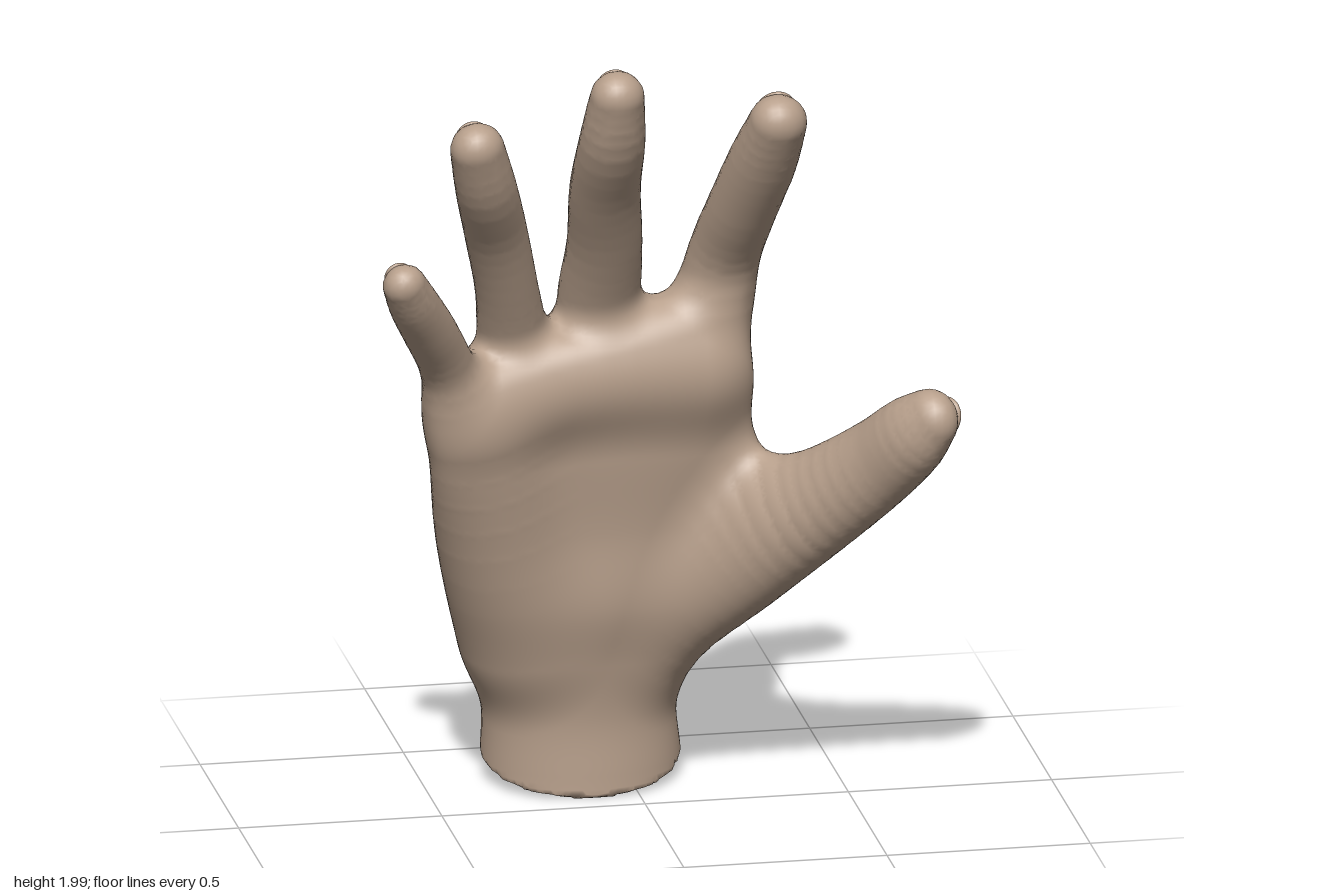
import * as THREE from 'three';

const SKIN = new THREE.MeshStandardMaterial({ color: 0xb8a08c });
SKIN.name = 'skin';

// Digits: joints from inside the palm to the tip as [x, y, z, radius];
// back is the nail side, flat the ratio of width to depth
const DIGITS = [
  { name: 'indexFinger', blend: 0.06, flat: 1.08, back: [0.1, 0.5, -1], joints: [[.09, .78, -.16, .07], [.17, 1.22, -.055, .097],
    [.195, 1.4, .005, .089], [.22, 1.55, .11, .086], [.25, 1.7, .215, .084], [.27, 1.82, .3, .071]] },
  { name: 'middleFinger', blend: 0.06, flat: 1.08, back: [0, 0.5, -1], joints: [[-.1, .78, -.16, .07], [-.11, 1.25, -.04, .1],
    [-.115, 1.47, .08, .092], [-.135, 1.64, .19, .087], [-.14, 1.8, .31, .081], [-.14, 1.932, .375, .067]] },
  { name: 'ringFinger', blend: 0.05, flat: 1.08, back: [-0.1, 0.5, -1], joints: [[-.27, .75, -.13, .07], [-.325, 1.2, -.005, .085],
    [-.357, 1.37, .08, .077], [-.4, 1.54, .17, .077], [-.445, 1.69, .28, .075], [-.478, 1.81, .342, .067]] },
  { name: 'littleFinger', blend: 0.05, flat: 1.08, back: [-0.3, 0.5, -1], joints: [[-.36, .75, -.09, .07], [-.465, 1.06, .045, .08],
    [-.515, 1.2, .12, .067], [-.57, 1.31, .2, .066], [-.62, 1.4, .27, .062], [-.652, 1.465, .315, .054]] },
  { name: 'thumb', blend: 0.15, flat: 1.25, back: [1, 0, -0.6], joints: [[.04, .4, -.19, .11], [.185, .55, -.085, .14],
    [.3, .68, .01, .145], [.425, .8, .125, .125], [.53, .915, .235, .109], [.592, 1.005, .32, .099], [.632, 1.062, .367, .076]] },
];

// Fleshy pads of the palm: outer heel and the ridge below the fingers
const PADS = [
  [[-.27, .4, -.18, .12], [-.35, .7, -.07, .115], [-.41, .98, .025, .09]],
  [[-.41, 1.07, .03, .078], [-.12, 1.11, .015, .085], [.13, 1.11, -.01, .09]],
];

// Palm and wrist ellipses: y, then centre x, half width, centre z, half depth
const SECTIONS = [
  [-.1, -.11, .25, -.258, .208], [.06, -.112, .245, -.252, .197], [.2, -.12, .238, -.233, .18], [.35, -.125, .265, -.21, .187],
  [.5, -.115, .315, -.178, .194], [.7, -.11, .365, -.152, .178], [.9, -.12, .39, -.105, .16],
  [1.05, -.135, .39, -.07, .143], [1.18, -.14, .365, -.045, .122], [1.3, -.14, .345, -.02, .09],
];
const sectionAt = new THREE.CubicInterpolant(SECTIONS.map(s => s[0]), SECTIONS.flatMap(s => s.slice(1)), 4);

// Soft union of two distances, rounding the joint over width k
function blend(a, b, k) {
  const h = Math.max(k - Math.abs(a - b), 0) / k;
  return Math.min(a, b) - h * h * k / 4;
}

const curveOf = joints => new THREE.CatmullRomCurve3(joints.map(j => new THREE.Vector3(j[0], j[1], j[2])));

// Unit vector towards the nail side, square to a direction along the digit
function squareTo(back, along) {
  const out = new THREE.Vector3(...back);
  return out.addScaledVector(along, -out.dot(along)).normalize();
}

// Distance to a tapered tube that follows the joints, flattened from the back
function limb(joints, back = [0, 0, 1], flat = 1) {
  const curve = curveOf(joints), n = (joints.length - 1) * 4, pts = [];
  const radius = new THREE.CubicInterpolant(joints.map((j, i) => i), joints.map(j => j[3]), 1);
  for (let i = 0; i <= n; i++) pts.push([...curve.getPoint(i / n).toArray(), radius.evaluate(i / 4)[0]]);
  const out = squareTo(back, curve.getTangent(0.8)), extra = flat * flat - 1;
  return (x, y, z) => {
    let best = 9;
    for (let i = 0; i < n; i++) {
      const a = pts[i], b = pts[i + 1];
      const ux = b[0] - a[0], uy = b[1] - a[1], uz = b[2] - a[2];
      const px = x - a[0], py = y - a[1], pz = z - a[2];
      const t = Math.min(1, Math.max(0, (px * ux + py * uy + pz * uz) / (ux * ux + uy * uy + uz * uz)));
      const dx = px - t * ux, dy = py - t * uy, dz = pz - t * uz;
      const depth = dx * out.x + dy * out.y + dz * out.z;
      best = Math.min(best, Math.sqrt(dx * dx + dy * dy + dz * dz + extra * depth * depth) - a[3] - t * (b[3] - a[3]));
    }
    return best;
  };
}

const digitFields = DIGITS.map(d => limb(d.joints, d.back, d.flat));
const padFields = PADS.map(joints => limb(joints));

// Palm: arched ellipses capped along the slanting line of the finger webs
function palmField(x, y, z) {
  const [cx, a, cz, b] = sectionAt.evaluate(y);
  const px = x - cx, arch = (px < 0 ? 0.9 : 0.35) * THREE.MathUtils.smoothstep(y, 0.3, 1);
  const pz = z - cz - arch * px * px;
  const k0 = Math.hypot(px / a, pz / b), k1 = Math.hypot(px / (a * a), pz / (b * b)) + 1e-6;
  const side = k0 * (k0 - 1) / k1, top = y - 1.225 - 0.25 * (x + 0.2);
  let d = -blend(-side, -top, 0.1);
  for (const pad of padFields) d = blend(d, pad(x, y, z), 0.13);
  return d;
}

// Whole hand, cut by the tilted plane at the wrist
function handField(x, y, z) {
  let d = palmField(x, y, z);
  DIGITS.forEach((digit, i) => { d = blend(d, digitFields[i](x, y, z), digit.blend); });
  return -blend(-d, 0.958 * (y + 0.297 * (z + 0.06)), 0.018);
}

// Which part a surface point belongs to
function partAt(x, y, z) {
  let best = palmField(x, y, z), name = y < 0.3 ? 'wrist' : 'palm';
  DIGITS.forEach((digit, i) => {
    const d = digitFields[i](x, y, z);
    if (d < best && y > 0.4) { best = d; name = digit.name; }
  });
  return name;
}

// Skin: one quad mesh over the blended hand, sorted into named parts
function buildSkin() {
  const step = 0.016, origin = [-0.8, -0.06, -0.52], size = [101, 134, 66];
  const stride = [1, size[0], size[0] * size[1]], total = stride[2] * size[2];
  const value = new Float32Array(total), cells = new Map(), parts = {};
  const at = (i, axis) => Math.floor(i / stride[axis]) % size[axis];
  for (let i = 0; i < total; i++) {
    value[i] = handField(...origin.map((o, axis) => o + at(i, axis) * step));
  }

  // One vertex in each grid cell the surface crosses
  const vertexIn = cell => {
    if (cells.has(cell)) return cells.get(cell);
    const sum = [0, 0, 0];
    let count = 0;
    for (let corner = 0; corner < 8; corner++) for (let axis = 0; axis < 3; axis++) {
      if (corner >> axis & 1) continue;
      const bits = [corner & 1, corner >> 1 & 1, corner >> 2 & 1];
      const i = cell + bits[0] * stride[0] + bits[1] * stride[1] + bits[2] * stride[2];
      const v0 = value[i], v1 = value[i + stride[axis]];
      if (v0 < 0 === v1 < 0) continue;
      bits[axis] = v0 / (v0 - v1);
      bits.forEach((b, k) => { sum[k] += b; });
      count++;
    }
    const p = sum.map((s, axis) => origin[axis] + (at(cell, axis) + s / count) * step), e = 0.006;
    const normal = new THREE.Vector3(
      handField(p[0] + e, p[1], p[2]) - handField(p[0] - e, p[1], p[2]),
      handField(p[0], p[1] + e, p[2]) - handField(p[0], p[1] - e, p[2]),
      handField(p[0], p[1], p[2] + e) - handField(p[0], p[1], p[2] - e)).normalize();
    const vertex = { p, n: normal.toArray(), part: partAt(...p) };
    cells.set(cell, vertex);
    return vertex;
  };

  // A quad around each grid edge the surface crosses
  for (let i = 0; i < total; i++) for (let axis = 0; axis < 3; axis++) {
    if ([0, 1, 2].some(k => at(i, k) < 1 || at(i, k) > size[k] - 2)) break;
    const inside = value[i] < 0;
    if (inside === value[i + stride[axis]] < 0) continue;
    const b = stride[(axis + 1) % 3], c = stride[(axis + 2) % 3];
    const quad = [i - b - c, i - c, i, i - b].map(vertexIn);
    if (!inside) quad.reverse();
    const part = parts[quad[0].part] ??= { position: [], normal: [] };
    for (const k of [0, 1, 2, 0, 2, 3]) {
      part.position.push(...quad[k].p);
      part.normal.push(...quad[k].n);
    }
  }
  return Object.entries(parts).map(([name, data]) => {
    const geometry = new THREE.BufferGeometry();
    for (const key of ['position', 'normal']) geometry.setAttribute(key, new THREE.Float32BufferAttribute(data[key], 3));
    const mesh = new THREE.Mesh(geometry, SKIN);
    mesh.name = name;
    return mesh;
  });
}

// Nail: flattened ellipsoid sunk into the back of a fingertip
function buildNail({ name, joints, back, flat }) {
  const tip = joints.length - 1, u = 1 - 0.1 / tip, curve = curveOf(joints), r = joints[tip][3];
  const along = curve.getTangent(u), out = squareTo(back, along);
  const across = new THREE.Vector3().crossVectors(along, out);
  const geometry = new THREE.SphereGeometry(1, 24, 16).scale(r * 0.66, r * 0.85, r * 0.25);
  geometry.applyMatrix4(new THREE.Matrix4().makeBasis(across, along, out)
    .setPosition(curve.getPoint(u).addScaledVector(out, r * 0.82 / flat)));
  const nail = new THREE.Mesh(geometry, SKIN);
  nail.name = name + 'Nail';
  return nail;
}

export function createModel() {
  const hand = new THREE.Group();
  hand.name = 'hand';
  hand.add(...buildSkin(), ...DIGITS.map(buildNail));
  return hand;
}
